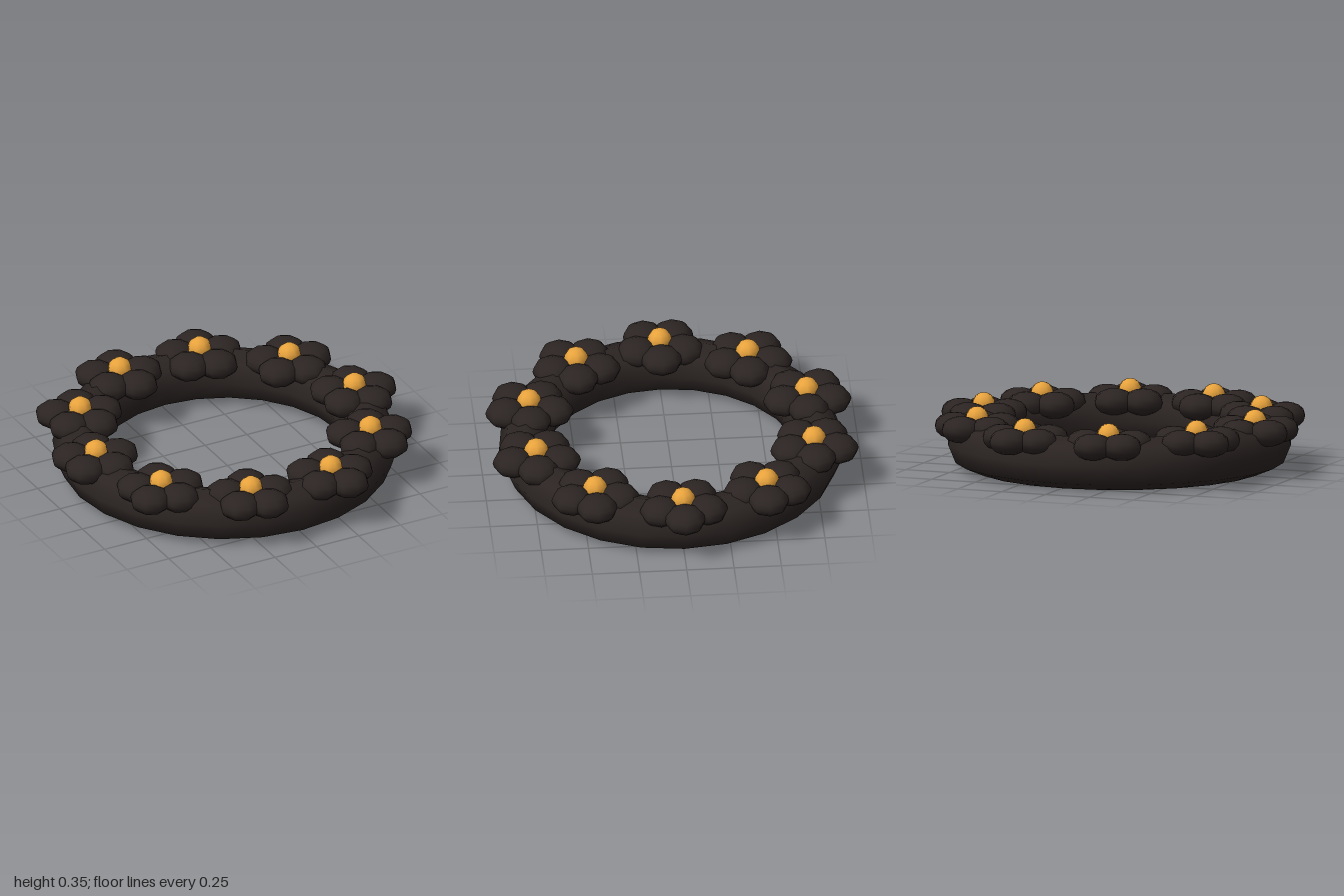
import * as THREE from 'three';

export function createModel() {
  const root = new THREE.Group();
  root.name = 'flowerWreath';
  const dark = new THREE.MeshStandardMaterial({ color: 0x2b2422 });
  const gold = new THREE.MeshStandardMaterial({ color: 0xe8a33d });
  const centreX = -0.0125;
  const ringRadius = 0.772;

  // Eight-sided ring lying flat on the ground
  const band = new THREE.Mesh(new THREE.TorusGeometry(ringRadius, 0.14, 8, 24).rotateX(-Math.PI / 2), dark);
  band.name = 'ringBand';
  band.position.set(centreX, 0.14, 0);
  root.add(band);

  const petalGeometry = new THREE.SphereGeometry(0.11, 8, 8).scale(1, 0.64, 1);
  const budGeometry = new THREE.SphereGeometry(0.065, 8, 8);

  // Five flattened petals around a round centre
  function makeFlower() {
    const flower = new THREE.Group();
    flower.name = 'flower';
    for (let i = 0; i < 5; i++) {
      const a = (i / 5) * Math.PI * 2;
      const petal = new THREE.Mesh(petalGeometry, dark);
      petal.name = 'petal';
      petal.position.set(Math.cos(a) * 0.13, 0, Math.sin(a) * 0.13);
      flower.add(petal);
    }
    const bud = new THREE.Mesh(budGeometry, gold);
    bud.name = 'flowerCentre';
    bud.position.y = 0.045;
    flower.add(bud);
    return flower;
  }

  // Ten flowers around the ring, all facing the same way
  for (let i = 0; i < 10; i++) {
    const a = (i / 10) * Math.PI * 2;
    const flower = makeFlower();
    flower.position.set(centreX + Math.cos(a) * ringRadius, 0.245, Math.sin(a) * ringRadius);
    root.add(flower);
  }
  return root;
}
